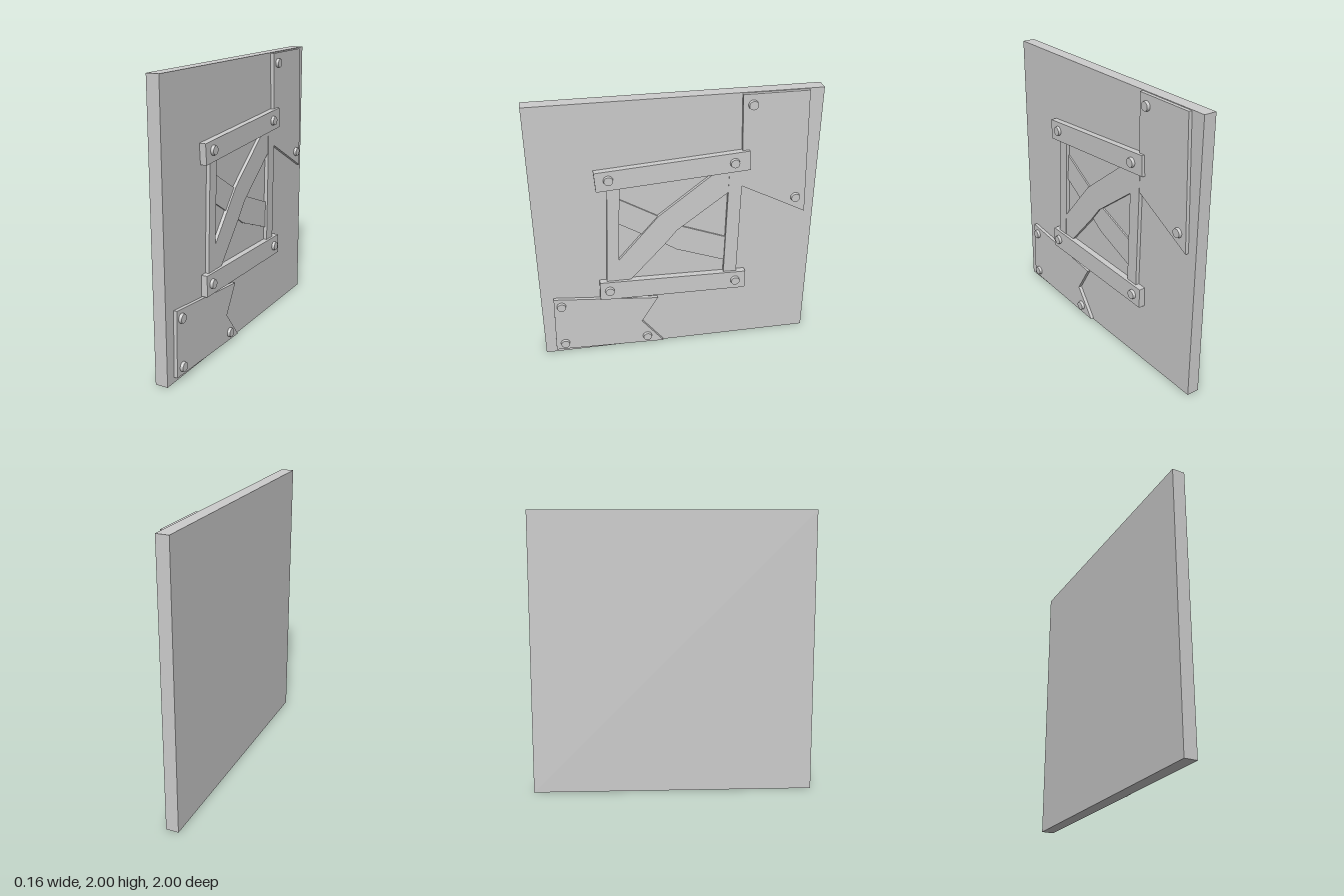
import * as THREE from 'three';

const FACE = 0.011; // x of the slab's decorated face

export function createModel() {
  const group = new THREE.Group();
  const material = new THREE.MeshStandardMaterial({ color: 0xcccccc, flatShading: true });
  const smooth = new THREE.MeshStandardMaterial({ color: 0xcccccc });

  // Flat board cut from a [z, y] outline, standing on the slab face up to x = top
  const board = (name, outline, top) => {
    const shape = new THREE.Shape(outline.map(([z, y]) => new THREE.Vector2(-z, y)));
    const geo = new THREE.ExtrudeGeometry(shape, { depth: top - FACE + 0.005, bevelEnabled: false });
    geo.rotateY(Math.PI / 2).translate(FACE - 0.005, 0, 0);
    const mesh = new THREE.Mesh(geo, material);
    mesh.name = name;
    group.add(mesh);
  };

  // Slightly tapered round stud pointing along +x
  const bolt = (z, y, base) => {
    const geo = new THREE.CylinderGeometry(0.031, 0.035, 0.024, 24).rotateZ(-Math.PI / 2);
    const mesh = new THREE.Mesh(geo, smooth);
    mesh.position.set(base + 0.008, y, z);
    mesh.name = 'bolt';
    group.add(mesh);
  };

  // Main slab
  const slab = new THREE.Mesh(new THREE.BoxGeometry(FACE + 0.08, 2, 2), material);
  slab.position.set((FACE - 0.08) / 2, 1, 0);
  slab.name = 'slab';
  group.add(slab);

  // Patch plates
  const PLATE = 0.036;
  board('upperPlate', [[-0.44, 1.995], [-0.895, 1.995], [-0.93, 1.067], [-0.46, 1.314]], PLATE);
  board('lowerPlate', [[0.91, 0.5], [0.922, 0.037], [0.107, 0.012], [0.268, 0.22], [0.145, 0.424]], PLATE);

  // Window frame
  const RAIL = 0.057;
  board('topRail', [[0.568, 1.517], [0.558, 1.373], [-0.51, 1.448], [-0.5, 1.592]], RAIL);
  board('bottomRail', [[0.568, 0.622], [0.57, 0.472], [-0.51, 0.456], [-0.51, 0.6]], RAIL);
  board('leftStile', [[0.481, 1.42], [0.517, 0.58], [0.432, 0.58], [0.395, 1.42]], 0.038);
  board('rightStile', [[-0.367, 1.48], [-0.347, 0.56], [-0.443, 0.56], [-0.461, 1.48]], 0.038);

  // Crossed planks inside the frame
  board('diagonalPlank', [[0.45, 0.76], [0.43, 0.56], [0.39, 0.56], [0.09, 0.89], [0, 1.0],
    [-0.4, 1.3], [-0.4, 1.47], [-0.31, 1.47], [0.13, 1.13]], 0.035);
  board('crossPlank', [[0.44, 1.306], [0.44, 1.105], [0.09, 0.89], [0, 0.83], [-0.39, 0.685],
    [-0.39, 0.885], [-0.04, 1.02]], 0.022);

  // Bolts on plates and rails
  [[-0.51, 1.92], [-0.853, 1.19], [0.858, 0.434], [0.853, 0.091], [0.23, 0.075]]
    .forEach(([z, y]) => bolt(z, y, PLATE));
  [[0.472, 1.458], [-0.397, 1.512], [0.5, 0.547], [-0.434, 0.53]]
    .forEach(([z, y]) => bolt(z, y, RAIL));

  return group;
}
